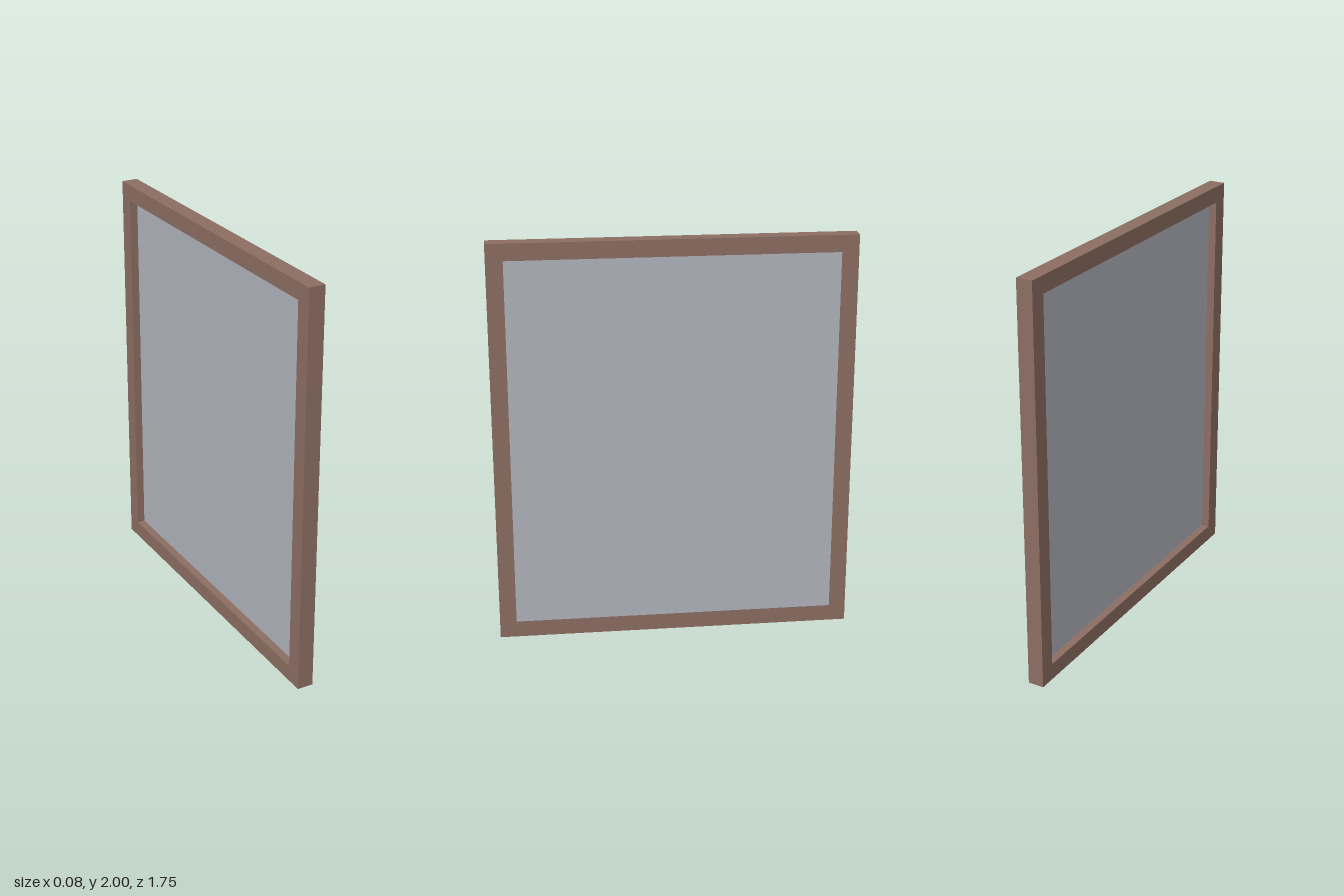
import * as THREE from 'three';

const HEIGHT = 2, WIDTH = 1.75, DEPTH = 0.08, BORDER = 0.082;

// Corners of an upright rectangle standing on y = 0, inset by a margin
function rectangle(margin) {
  const w = WIDTH / 2 - margin, top = HEIGHT - margin;
  return [[-w, margin], [w, margin], [w, top], [-w, top]].map(([x, y]) => new THREE.Vector2(x, y));
}

export function createModel() {
  const group = new THREE.Group();
  group.name = 'framedPanel';

  const wood = new THREE.MeshStandardMaterial({ color: 0x8d6e63 });
  wood.name = 'brown wood';
  const grey = new THREE.MeshStandardMaterial({ color: 0xb1b4be });
  grey.name = 'pale grey';

  // Border with a rectangular opening, turned to face +x
  const outline = new THREE.Shape(rectangle(0));
  outline.holes.push(new THREE.Path(rectangle(BORDER)));
  const frameGeometry = new THREE.ExtrudeGeometry(outline, { depth: DEPTH, bevelEnabled: false });
  frameGeometry.translate(0, 0, -DEPTH / 2).rotateY(Math.PI / 2);
  const frame = new THREE.Mesh(frameGeometry, wood);
  frame.name = 'frame';
  group.add(frame);

  // Panel flush with the +x face and recessed on the -x face
  const panel = new THREE.Mesh(
    new THREE.BoxGeometry(DEPTH / 2, HEIGHT - 2 * BORDER, WIDTH - 2 * BORDER), grey);
  panel.position.set(DEPTH / 4, HEIGHT / 2, 0);
  panel.name = 'panel';
  group.add(panel);

  return group;
}
